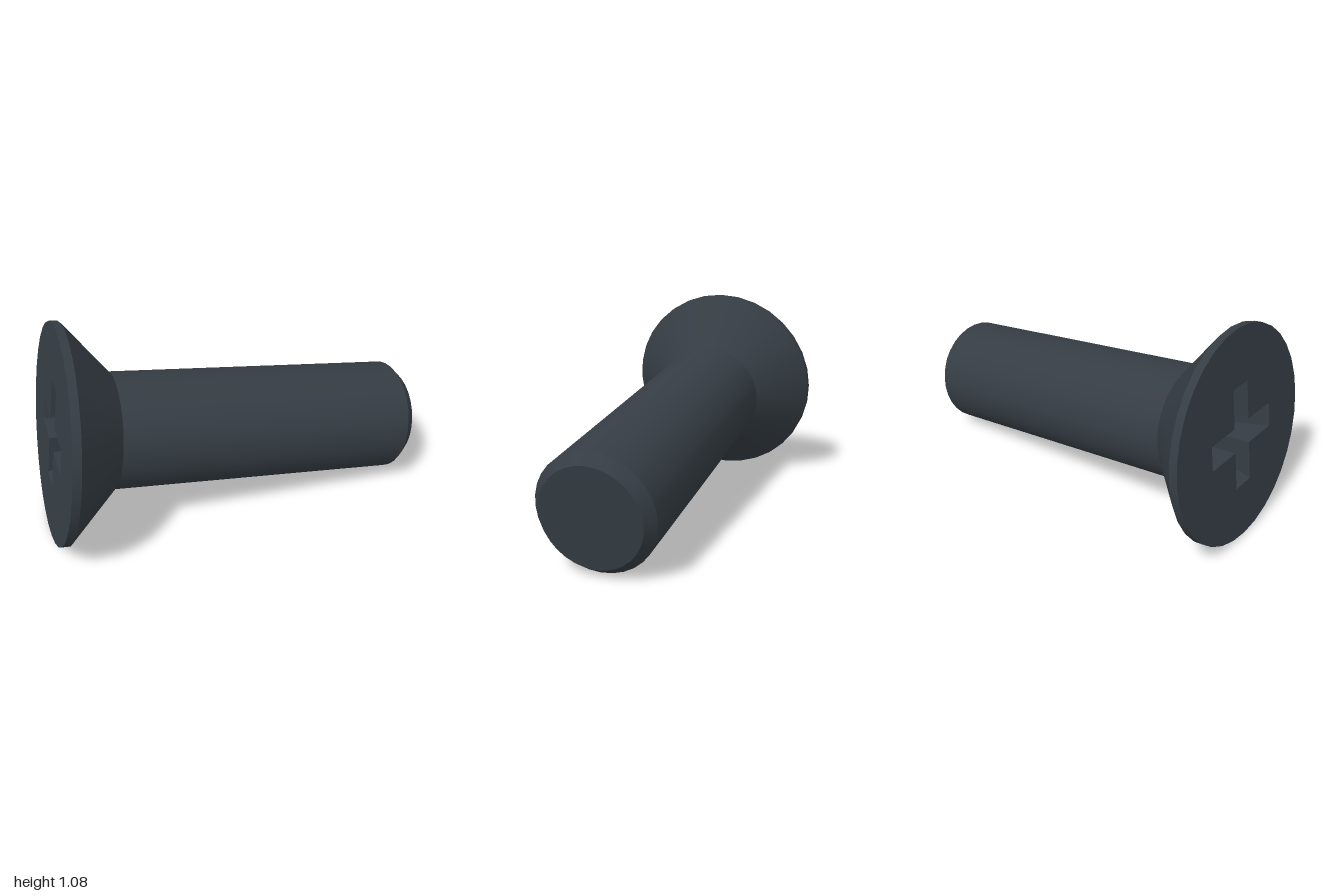
import * as THREE from 'three';

const SIDES = 32;
const HEAD_R = 0.54, SHAFT_R = 0.29, TIP_R = 0.246;
const RECESS_DEPTH = 0.2, ARM_HALF_WIDTH = 0.063;

// Outline of a plus sign, counter-clockwise
function crossPoints(reach) {
  const w = ARM_HALF_WIDTH, pts = [];
  for (let k = 0; k < 4; k++) {
    for (const [x, y] of [[reach, -w], [reach, w], [w, w]]) {
      pts.push(new THREE.Vector2(x, y).rotateAround(new THREE.Vector2(), k * Math.PI / 2));
    }
  }
  return pts;
}

// Walls joining the outline at the surface to the one at the recess floor
function recessWalls(top, bottom) {
  const pos = [];
  top.forEach((a, i) => {
    const j = (i + 1) % top.length;
    const at = (p, y) => [p.x, y, -p.y];
    const ta = at(a, 0), tb = at(top[j], 0);
    const ba = at(bottom[i], -RECESS_DEPTH), bb = at(bottom[j], -RECESS_DEPTH);
    pos.push(...tb, ...bb, ...ba, ...tb, ...ba, ...ta);
  });
  const g = new THREE.BufferGeometry();
  g.setAttribute('position', new THREE.Float32BufferAttribute(pos, 3));
  g.computeVertexNormals();
  return g;
}

export function createModel() {
  const steel = new THREE.MeshStandardMaterial({ color: 0x353d44 });
  steel.name = 'darkSteel';

  const screw = new THREE.Group();
  screw.name = 'countersunkScrew';
  const add = (name, geometry) => {
    const mesh = new THREE.Mesh(geometry, steel);
    mesh.name = name;
    screw.add(mesh);
  };

  // Turned bands along the axis: name, start depth, end depth, start and end radius
  const bands = [
    ['headRim', 0, 0.04, HEAD_R, HEAD_R],
    ['headCone', 0.04, 0.28, HEAD_R, SHAFT_R],
    ['shaft', 0.28, 1.813, SHAFT_R, SHAFT_R],
    ['tipChamfer', 1.813, 1.865, SHAFT_R, TIP_R],
  ];
  for (const [name, y0, y1, r0, r1] of bands) {
    const g = new THREE.CylinderGeometry(r0, r1, y1 - y0, SIDES, 1, true);
    add(name, g.translate(0, -(y0 + y1) / 2, 0));
  }
  add('tipFace', new THREE.CircleGeometry(TIP_R, SIDES).rotateX(Math.PI / 2).translate(0, -1.865, 0));

  // Flat head with a cross-shaped drive recess
  const top = crossPoints(0.26), bottom = crossPoints(0.2);
  const rim = [];
  for (let i = 0; i < SIDES; i++) {
    const a = i / SIDES * Math.PI * 2;
    rim.push(new THREE.Vector2(Math.cos(a) * HEAD_R, Math.sin(a) * HEAD_R));
  }
  const face = new THREE.Shape(rim);
  face.holes.push(new THREE.Path([...top].reverse()));
  add('headFace', new THREE.ShapeGeometry(face).rotateX(-Math.PI / 2));
  add('recessWalls', recessWalls(top, bottom));
  add('recessFloor', new THREE.ShapeGeometry(new THREE.Shape(bottom))
    .rotateX(-Math.PI / 2).translate(0, -RECESS_DEPTH, 0));

  // Tilt the screw: the local y axis points out of the head
  const yAxis = new THREE.Vector3(-1, 0.142, -0.208).normalize();
  const xAxis = new THREE.Vector3(-0.208, 0, 1).normalize();
  const zAxis = new THREE.Vector3().crossVectors(xAxis, yAxis);
  screw.quaternion.setFromRotationMatrix(new THREE.Matrix4().makeBasis(xAxis, yAxis, zAxis));
  screw.position.set(-0.868, 0.537, -0.062);

  const model = new THREE.Group();
  model.name = 'model';
  model.add(screw);
  return model;
}
